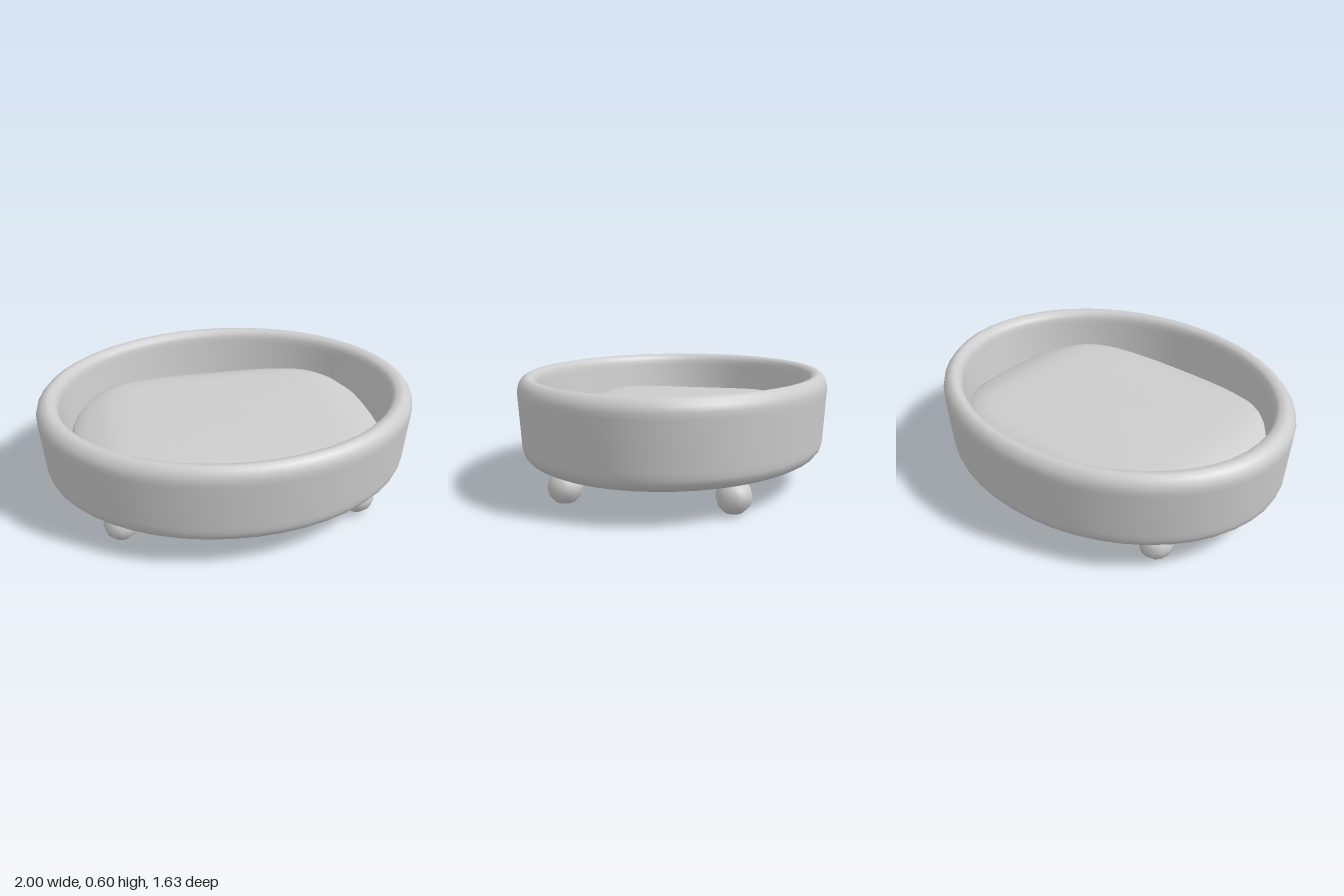
import * as THREE from 'three';
import { mergeVertices } from 'three/addons/utils/BufferGeometryUtils.js';

// Revolve a profile of [radius, height] points, then reshape each ring by a rule.
function reshapedLathe(profile, segments, reshape) {
  const geo = new THREE.LatheGeometry(profile.map(([r, y]) => new THREE.Vector2(r, y)), segments);
  const pos = geo.attributes.position;
  for (let i = 0; i < pos.count; i++) {
    const r = Math.hypot(pos.getX(i), pos.getZ(i));
    const a = Math.atan2(pos.getX(i), pos.getZ(i));
    const [x, z] = reshape(r, a);
    pos.setX(i, x);
    pos.setZ(i, z);
  }
  geo.deleteAttribute('normal');
  geo.deleteAttribute('uv');
  const merged = mergeVertices(geo, 1e-5);
  merged.computeVertexNormals();
  return merged;
}

export function createModel() {
  const group = new THREE.Group();
  const grey = new THREE.MeshStandardMaterial({ color: 0xcccccc });
  grey.name = 'light grey';

  const add = (name, geometry, x = 0, y = 0, z = 0) => {
    const mesh = new THREE.Mesh(geometry, grey);
    mesh.name = name;
    mesh.position.set(x, y, z);
    group.add(mesh);
  };

  // Oval wall with rolled rim, tapering inner side and closed base
  const wallProfile = [
    [0, 0.165], [0.9, 0.165], [0.912, 0.166], [0.945, 0.181], [0.968, 0.205], [0.977, 0.23],
    [0.98, 0.26], [0.998, 0.5], [1, 0.53], [0.992, 0.558], [0.972, 0.582], [0.95, 0.594],
    [0.935, 0.595], [0.91, 0.59], [0.894, 0.575], [0.886, 0.555], [0.882, 0.53],
    [0.845, 0.24], [0.84, 0.225], [0.82, 0.22], [0, 0.22],
  ];
  add('bedWall', reshapedLathe(wallProfile, 48, (r, a) => [
    r * Math.sin(a),
    r * 0.815 * Math.cos(a),
  ]));

  // Plump cushion: superellipse rings that grow squarer towards the flat top
  const cushionProfile = [
    [0.97, 0.2], [0.995, 0.24], [1, 0.3], [0.993, 0.33], [0.97, 0.352], [0.9, 0.378],
    [0.8, 0.406], [0.72, 0.42], [0.6, 0.425], [0.3, 0.428], [0, 0.43],
  ];
  const bend = (v, n) => Math.sign(v) * Math.abs(v) ** (2 / n);
  add('cushion', reshapedLathe(cushionProfile, 64, (r, a) => {
    const n = 2.7 + 12 * Math.min(0.3, Math.max(0, 1 - r));
    return [0.84 * r * bend(Math.sin(a), n), 0.67 * r * bend(Math.cos(a), n)];
  }));

  // Four ball feet
  const ball = new THREE.SphereGeometry(0.089, 12, 6);
  for (const [sx, side] of [[1, 'Left'], [-1, 'Right']]) {
    for (const [sz, end] of [[1, 'front'], [-1, 'back']]) {
      add(`${end}${side}Foot`, ball, sx * 0.625, 0.089, sz * 0.415);
    }
  }
  return group;
}
